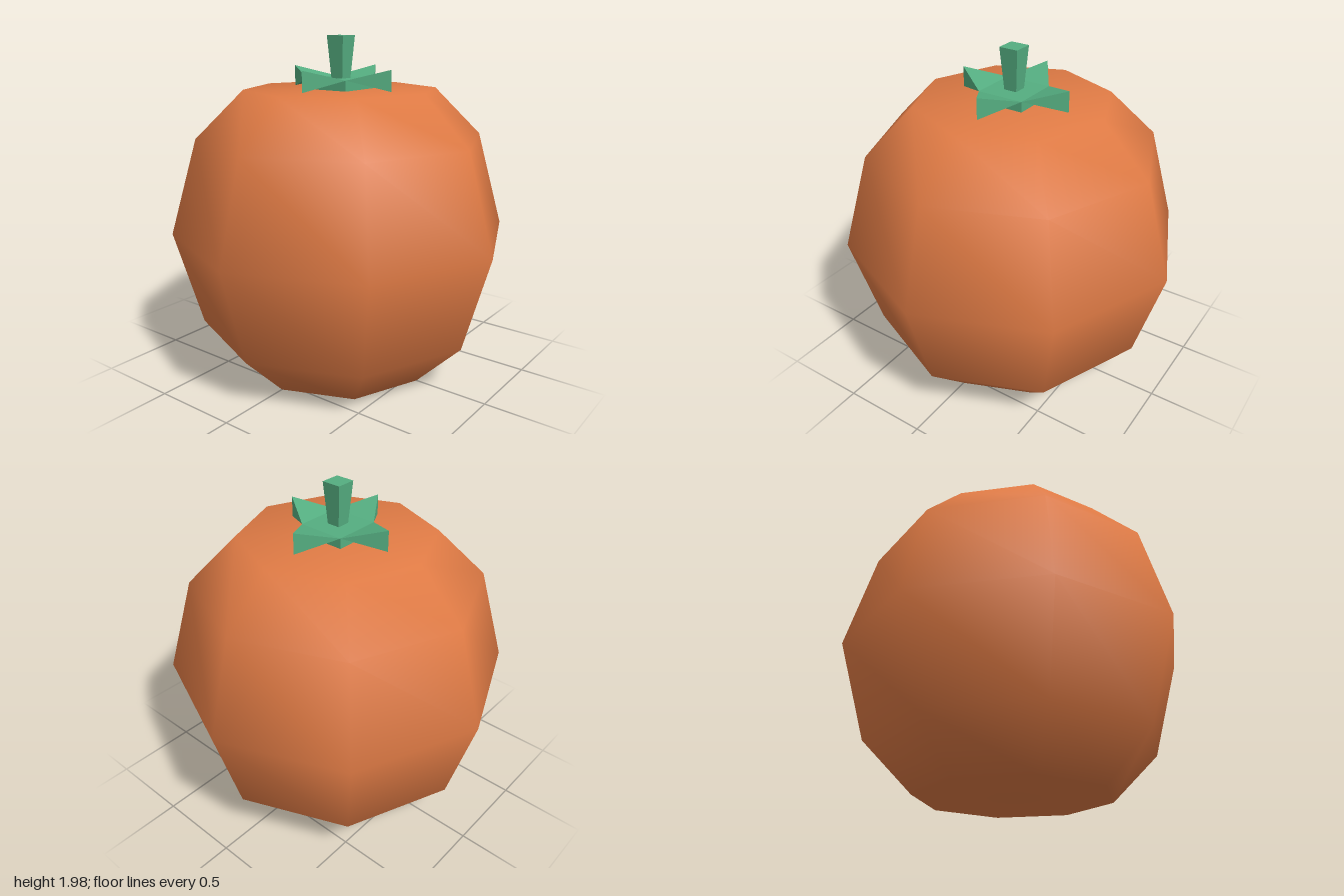
import * as THREE from 'three';

const skin = new THREE.MeshStandardMaterial({ color: 0xe07b45 });
skin.name = 'orange skin';
const leafGreen = new THREE.MeshStandardMaterial({ color: 0x55ae81, flatShading: true });
leafGreen.name = 'leaf green';

function add(parent, name, geometry, material) {
  const mesh = new THREE.Mesh(geometry, material);
  mesh.name = name;
  parent.add(mesh);
  return mesh;
}

// One pointed leaf: two base corners meeting a tall upright tip edge
function leafGeometry() {
  const a = [-0.138, 1.737, 0.138], b = [0.138, 1.737, 0.138];
  const top = [0, 1.797, 0.347], low = [0, 1.677, 0.347];
  const faces = [a, top, b, a, b, low, b, top, low, a, low, top];
  const geometry = new THREE.BufferGeometry();
  geometry.setAttribute('position', new THREE.Float32BufferAttribute(faces.flat(), 3));
  geometry.computeVertexNormals();
  return geometry;
}

export function createModel() {
  const model = new THREE.Group();
  model.name = 'fruit';

  // Smooth eight-sided fruit with flat top and bottom
  const profile = [[0, 0], [0.56, 0], [0.84, 0.28], [1, 0.84], [0.84, 1.4], [0.56, 1.677], [0, 1.677]]
    .map(([r, y]) => new THREE.Vector2(r, y));
  add(model, 'body', new THREE.LatheGeometry(profile, 8), skin);

  // Leafy crown: square base with four pointed leaves
  const crown = new THREE.Group();
  crown.name = 'crown';
  model.add(crown);
  add(crown, 'crownBase', new THREE.BoxGeometry(0.276, 0.06, 0.276).translate(0, 1.707, 0), leafGreen);
  const leaf = leafGeometry();
  for (let i = 0; i < 4; i++) {
    add(crown, 'leaf', leaf, leafGreen).rotation.y = i * Math.PI / 2;
  }

  // Square stem, wider at the top
  const stem = new THREE.CylinderGeometry(0.057 * Math.SQRT2, 0.039 * Math.SQRT2, 0.24, 4);
  stem.rotateY(Math.PI / 4).translate(0, 1.857, 0);
  add(model, 'stem', stem, leafGreen);

  return model;
}
